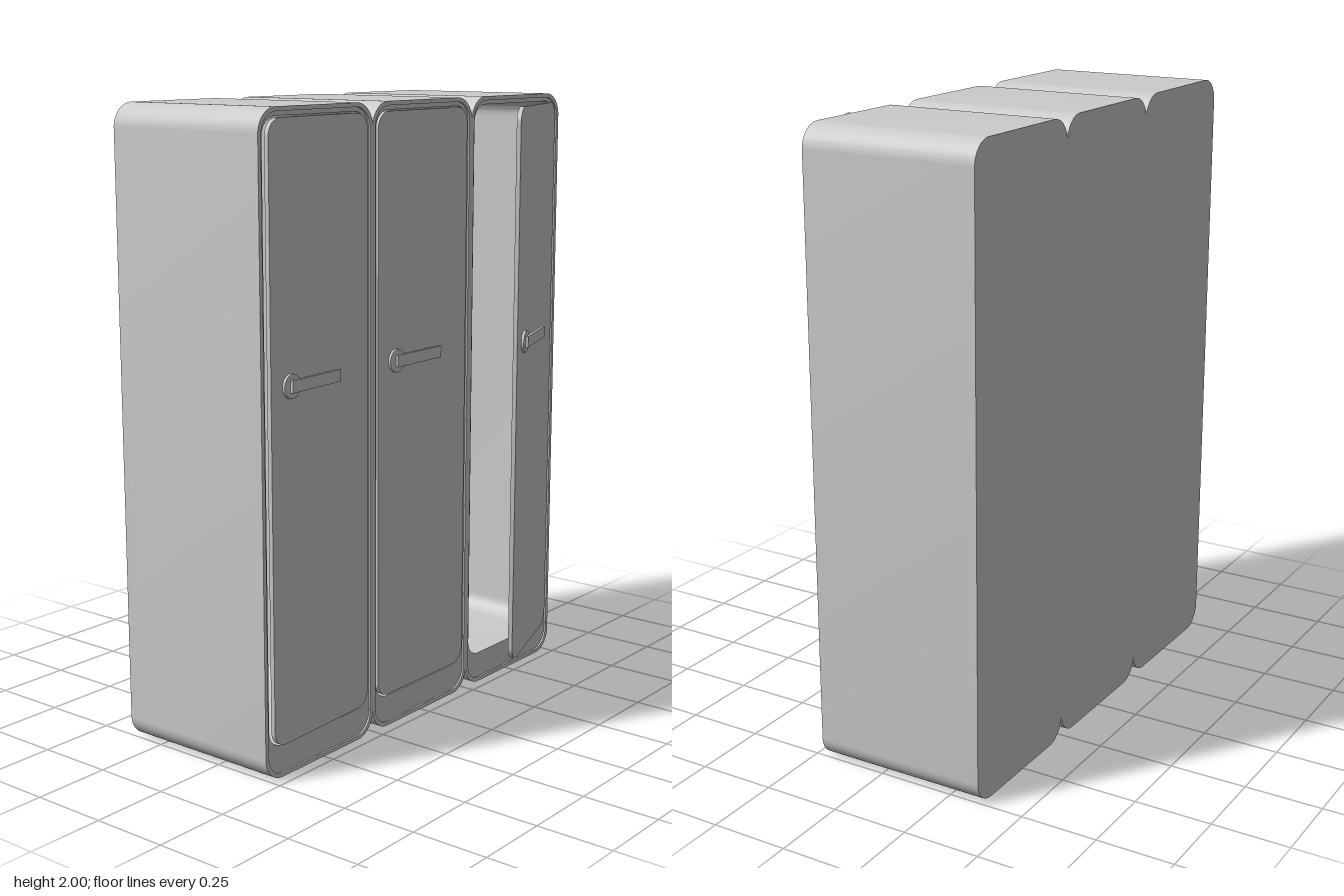
import * as THREE from 'three';
import { toCreasedNormals } from 'three/addons/utils/BufferGeometryUtils.js';

const material = new THREE.MeshStandardMaterial({ color: 0xcccccc });

// Rounded rectangle in the z-y plane (shape x stands for -z)
function roundedRect(z0, z1, y0, y1, r, Type = THREE.Shape) {
  const a = -z1, b = -z0, s = new Type();
  s.moveTo(a + r, y0);
  s.lineTo(b - r, y0);
  s.absarc(b - r, y0 + r, r, -Math.PI / 2, 0);
  s.lineTo(b, y1 - r);
  s.absarc(b - r, y1 - r, r, 0, Math.PI / 2);
  s.lineTo(a + r, y1);
  s.absarc(a + r, y1 - r, r, Math.PI / 2, Math.PI);
  s.lineTo(a, y0 + r);
  s.absarc(a + r, y0 + r, r, Math.PI, Math.PI * 1.5);
  return s;
}

// Extrude a z-y shape along x from x0 to x1
function slab(name, shape, x0, x1, hole) {
  if (hole) shape.holes.push(hole);
  const g = new THREE.ExtrudeGeometry(shape, { depth: x1 - x0, bevelEnabled: false, curveSegments: 12 });
  g.translate(0, 0, x0);
  g.rotateY(Math.PI / 2);
  const mesh = new THREE.Mesh(toCreasedNormals(g, 0.5), material);
  mesh.name = name;
  return mesh;
}

const BACK = -0.36, FRONT = 0.213, HALF = 0.2565, PITCH = 0.513;
const RIM = 0.013, RECESS = 0.006, HINGE = 0.199;

function makeCabinet() {
  const cabinet = new THREE.Group();
  cabinet.name = 'cabinet';
  const outer = () => roundedRect(-HALF, HALF, 0, 2, 0.075);
  const inner = (Type) => roundedRect(-HALF + RIM, HALF - RIM, RIM, 2 - RIM, 0.065, Type);
  const opening = roundedRect(-0.234, 0.234, 0.1, 1.974, 0.055, THREE.Path);
  cabinet.add(
    slab('backPanel', outer(), BACK, BACK + 0.02),
    slab('body', outer(), BACK + 0.02, FRONT - RECESS, opening),
    slab('frontRim', outer(), FRONT - RECESS, FRONT, inner(THREE.Path))
  );
  return cabinet;
}

// Door with its hinge edge at the group's origin, reaching along +z
function makeDoor() {
  const door = new THREE.Group();
  door.name = 'door';
  door.add(slab('doorPanel', roundedRect(0, 0.461, 0.107, 1.97, 0.052), 0, 0.0145));

  // Round handle base
  const base = new THREE.Mesh(new THREE.CylinderGeometry(0.037, 0.037, 0.009, 32), material);
  base.rotation.z = -Math.PI / 2;
  base.position.set(0.0185, 1.2, 0.373);
  base.name = 'handleBase';

  // Lever bar
  const bar = new THREE.Mesh(new THREE.BoxGeometry(0.009, 0.037, 0.228), material);
  bar.position.set(0.027, 1.2, 0.269);
  bar.name = 'handleBar';
  door.add(base, bar);
  return door;
}

export function createModel() {
  const model = new THREE.Group();
  model.name = 'lockers';
  // Door swing for each locker, from the back (-z) to the front (+z)
  const swings = [0.336, 0, 0.03];
  swings.forEach((swing, i) => {
    const locker = new THREE.Group();
    locker.name = ['rearLocker', 'middleLocker', 'frontLocker'][i];
    locker.position.z = (i - 1) * PITCH;
    const door = makeDoor();
    door.position.set(HINGE, 0, -0.2305);
    door.rotation.y = swing;
    locker.add(makeCabinet(), door);
    model.add(locker);
  });
  return model;
}
